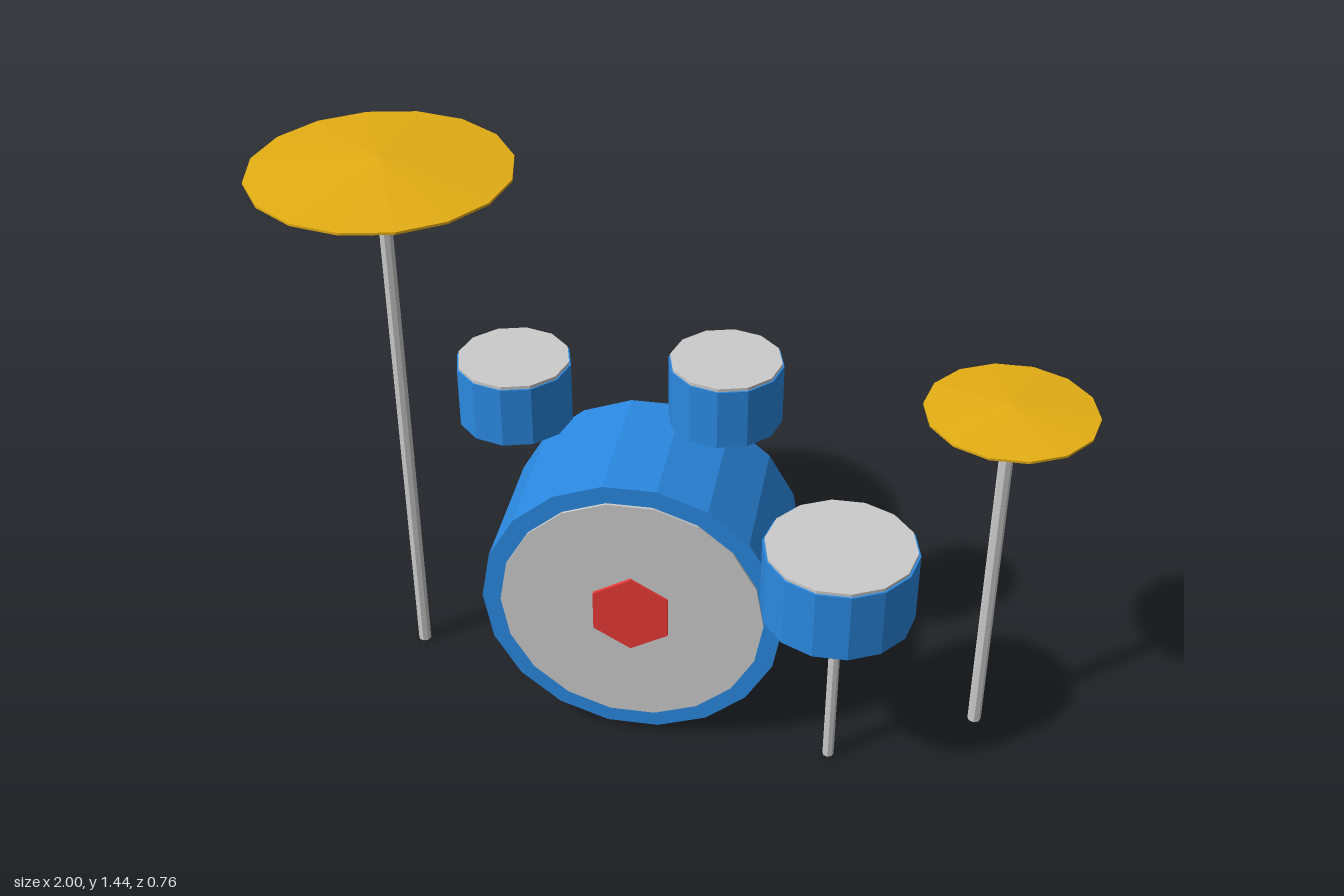
import * as THREE from 'three';

const paint = (color) => new THREE.MeshStandardMaterial({ color, flatShading: true });

export function createModel() {
  const model = new THREE.Group();
  model.name = 'drumKit';
  const blue = paint(0x2a88e0), grey = paint(0xcccccc), gold = paint(0xe4ae14), red = paint(0xe53935);

  // Upright prism from y0 to y1 with a corner pointing along +x
  function disc(parent, name, material, sides, rBottom, rTop, y0, y1) {
    const geometry = new THREE.CylinderGeometry(rTop, rBottom, y1 - y0, sides);
    geometry.rotateY(Math.PI / 2).translate(0, (y0 + y1) / 2, 0);
    const mesh = new THREE.Mesh(geometry, material);
    mesh.name = name;
    parent.add(mesh);
    return mesh;
  }

  function part(name, x, y, z) {
    const group = new THREE.Group();
    group.name = name;
    group.position.set(x, y, z);
    model.add(group);
    return group;
  }

  // Shell with a thin, slightly narrower head on top
  function drum(name, x, z, sides, r, y0, y1) {
    const group = part(name, x, 0, z);
    disc(group, 'shell', blue, sides, r, r, y0, y1 - 0.008);
    disc(group, 'head', grey, sides, r * 0.97, r * 0.97, y1 - 0.008, y1);
    return group;
  }

  // Shallow cone with a thin rim, on a straight pole
  function cymbal(name, x, z, sides, r, poleTop, y0, y1) {
    const group = part(name, x, 0, z);
    disc(group, 'pole', grey, 8, 0.017, 0.017, 0, poleTop);
    const profile = [[0, y0], [r, y0], [r, y0 + 0.006], [0, y1]].map(([a, b]) => new THREE.Vector2(a, b));
    const plate = new THREE.Mesh(new THREE.LatheGeometry(profile, sides, Math.PI / 2), gold);
    plate.name = 'cymbalPlate';
    group.add(plate);
  }

  // Bass drum lies on its side, front head facing +z
  const bass = part('bassDrum', -0.064, 0.393, 0);
  bass.rotation.x = Math.PI / 2;
  disc(bass, 'shell', blue, 18, 0.374, 0.374, -0.176, 0.197);
  disc(bass, 'frontHead', grey, 18, 0.327, 0.327, 0.197, 0.203);
  disc(bass, 'frontBadge', red, 6, 0.107, 0.107, 0.203, 0.212).rotation.y = Math.PI / 2;

  // Toms
  drum('rightTom', -0.376, 0.01, 12, 0.139, 0.817, 0.979);
  drum('leftTom', 0.123, -0.066, 12, 0.139, 0.817, 0.979);

  // Snare on its stand
  const snare = drum('snareDrum', 0.438, 0.2, 14, 0.186, 0.473, 0.664);
  disc(snare, 'pole', grey, 8, 0.014, 0.014, 0, 0.473);

  // Cymbals
  cymbal('crashCymbal', -0.688, -0.066, 16, 0.312, 1.402, 1.402, 1.439);
  cymbal('hiHat', 0.797, 0.008, 14, 0.203, 0.94, 0.949, 0.971);

  return model;
}
